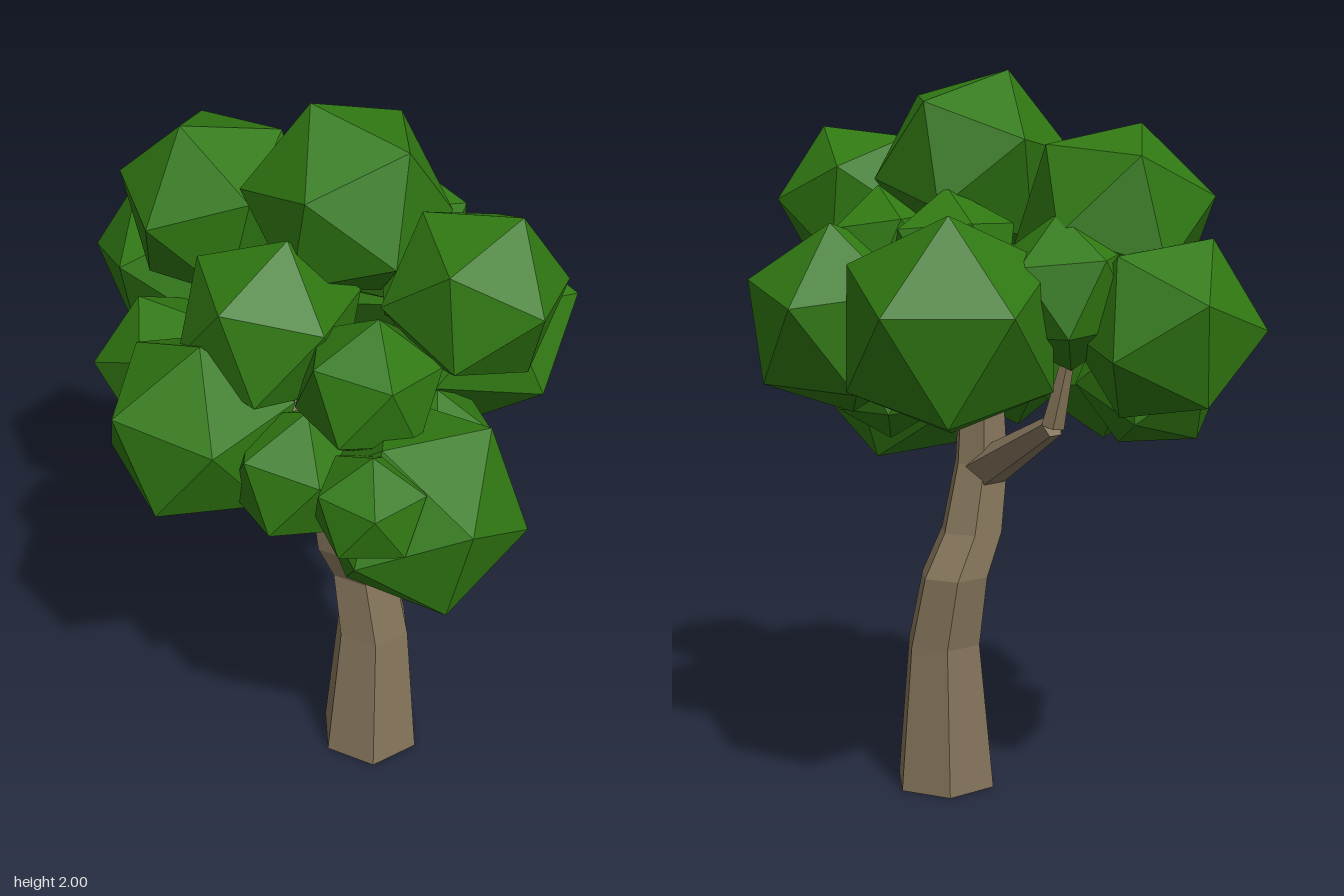
import * as THREE from 'three';

const leafMat = new THREE.MeshStandardMaterial({ color: 0x307812, flatShading: true });
const barkMat = new THREE.MeshStandardMaterial({ color: 0x84745a, flatShading: true });

const V = (a) => new THREE.Vector3(...a);

// Orthonormal frame with one axis along p and a second leaning towards q
function frame(p, q) {
  const x = p.clone().normalize();
  const z = x.clone().cross(q).normalize();
  return new THREE.Matrix4().makeBasis(x, z.clone().cross(x), z);
}

// Faceted leaf clump: one corner points along p, a neighbouring corner leans to q
function leafClump([x, y, z, r], p, q) {
  const t = (1 + Math.sqrt(5)) / 2;
  const geo = new THREE.IcosahedronGeometry(r, 0);
  const from = frame(V([-1, t, 0]), V([1, t, 0])).transpose();
  geo.applyMatrix4(frame(V(p), V(q)).multiply(from));
  const mesh = new THREE.Mesh(geo, leafMat);
  mesh.position.set(x, y, z);
  mesh.name = 'leafClump';
  return mesh;
}

// Six-sided trunk bent through rings of [x, y, z, radius]
function trunk(rings) {
  const n = rings.length - 1;
  const geo = new THREE.CylinderGeometry(1, 1, 1, 6, n);
  geo.rotateY(Math.PI / 6);
  const pos = geo.attributes.position;
  for (let i = 0; i < pos.count; i++) {
    const [x, y, z, r] = rings[Math.round((pos.getY(i) + 0.5) * n)];
    pos.setXYZ(i, x + pos.getX(i) * r, y, z + pos.getZ(i) * r);
  }
  geo.computeVertexNormals();
  const mesh = new THREE.Mesh(geo, barkMat);
  mesh.name = 'trunk';
  return mesh;
}

// Tapered branch between two points
function branch(a, b, r0, r1) {
  const start = V(a), dir = V(b).sub(start);
  const geo = new THREE.CylinderGeometry(r1, r0, dir.length(), 5);
  const mesh = new THREE.Mesh(geo, barkMat);
  mesh.position.copy(start).addScaledVector(dir, 0.5);
  mesh.quaternion.setFromUnitVectors(new THREE.Vector3(0, 1, 0), dir.normalize());
  mesh.name = 'branch';
  return mesh;
}

export function createModel() {
  const tree = new THREE.Group();
  tree.name = 'tree';

  tree.add(trunk([
    [0.075, 0, 0.163, 0.15],
    [0.085, 0.42, 0.153, 0.11],
    [0.072, 0.62, 0.118, 0.1],
    [0.01, 0.74, 0.122, 0.092],
    [-0.03, 0.93, 0.13, 0.08],
    [-0.03, 1.15, 0.13, 0.066],
  ]));

  // Branches reaching into the crown
  const branches = new THREE.Group();
  branches.name = 'branches';
  const fork = [-0.03, 1.11, 0.13];
  branches.add(
    branch([-0.02, 0.91, 0.1], [0, 1.08, -0.23], 0.062, 0.032),
    branch([0, 1.08, -0.23], [-0.02, 1.3, -0.28], 0.032, 0.015),
    branch(fork, [0.33, 1.27, 0.18], 0.055, 0.022),
    branch([0.12, 1.18, 0.15], [0.18, 1.38, 0.12], 0.025, 0.012),
    branch(fork, [-0.2, 1.56, 0.02], 0.066, 0.025),
    branch(fork, [-0.36, 1.28, 0], 0.03, 0.015),
    branch([-0.03, 1.05, 0.14], [-0.06, 1.15, 0.42], 0.045, 0.02),
  );
  tree.add(branches);

  const crown = new THREE.Group();
  crown.name = 'crown';

  // Main clumps: centre and radius, corner direction, neighbour direction
  const main = [
    [[0.05, 1.752, 0.05, 0.268], [-0.066, 0.246, -0.06], [0.204, 0.176, -0.06]],
    [[0.16, 1.645, 0.445, 0.235], [0.02, 0.03, 0.21], [1, 0, 0]],
    [[-0.05, 1.145, 0.525, 0.282], [-0.03, 0.08, 0.255], [0.23, -0.065, 0.16]],
    [[0.37, 1.37, -0.29, 0.298], [0.28, 0.05, -0.11], [0.25, 0.18, 0.18]],
    [[0.385, 1.35, 0.19, 0.27], [0.225, 0.05, -0.12], [0.225, 0.12, 0.165]],
    [[-0.39, 1.24, 0.05, 0.268], [-0.24, 0.1, 0], [-0.18, -0.19, 0.11]],
    [[-0.11, 1.62, -0.34, 0.265], [-0.1, 0.25, 0.01], [0.1, 0.16, -0.22]],
    [[-0.1, 1.36, -0.555, 0.252], [0.07, 0.08, -0.23], [-0.18, 0, -0.18]],
    [[-0.2, 1.49, 0.08, 0.245], [-0.18, 0.12, 0.08], [-0.02, 0.23, 0.05]],
    [[-0.29, 1.2, -0.29, 0.21], [-0.2, 0.02, -0.1], [-0.02, -0.2, -0.1]],
  ];
  main.forEach((c) => crown.add(leafClump(...c)));

  // Small clumps filling the gaps
  const small = [
    [0.23, 1.52, -0.1, 0.185],
    [0.25, 1.53, 0.17, 0.175],
    [0.09, 1.45, -0.39, 0.2],
    [0.13, 1.15, 0.35, 0.17],
    [-0.23, 1.25, 0.58, 0.15],
    [-0.25, 1.18, 0.29, 0.19],
    [-0.11, 1.44, 0.39, 0.19],
  ];
  small.forEach((c, i) => {
    const a = i * 2.4;
    crown.add(leafClump(c, [Math.cos(a), 0.5, Math.sin(a)], [0.1, 1, 0.1]));
  });
  tree.add(crown);
  return tree;
}
